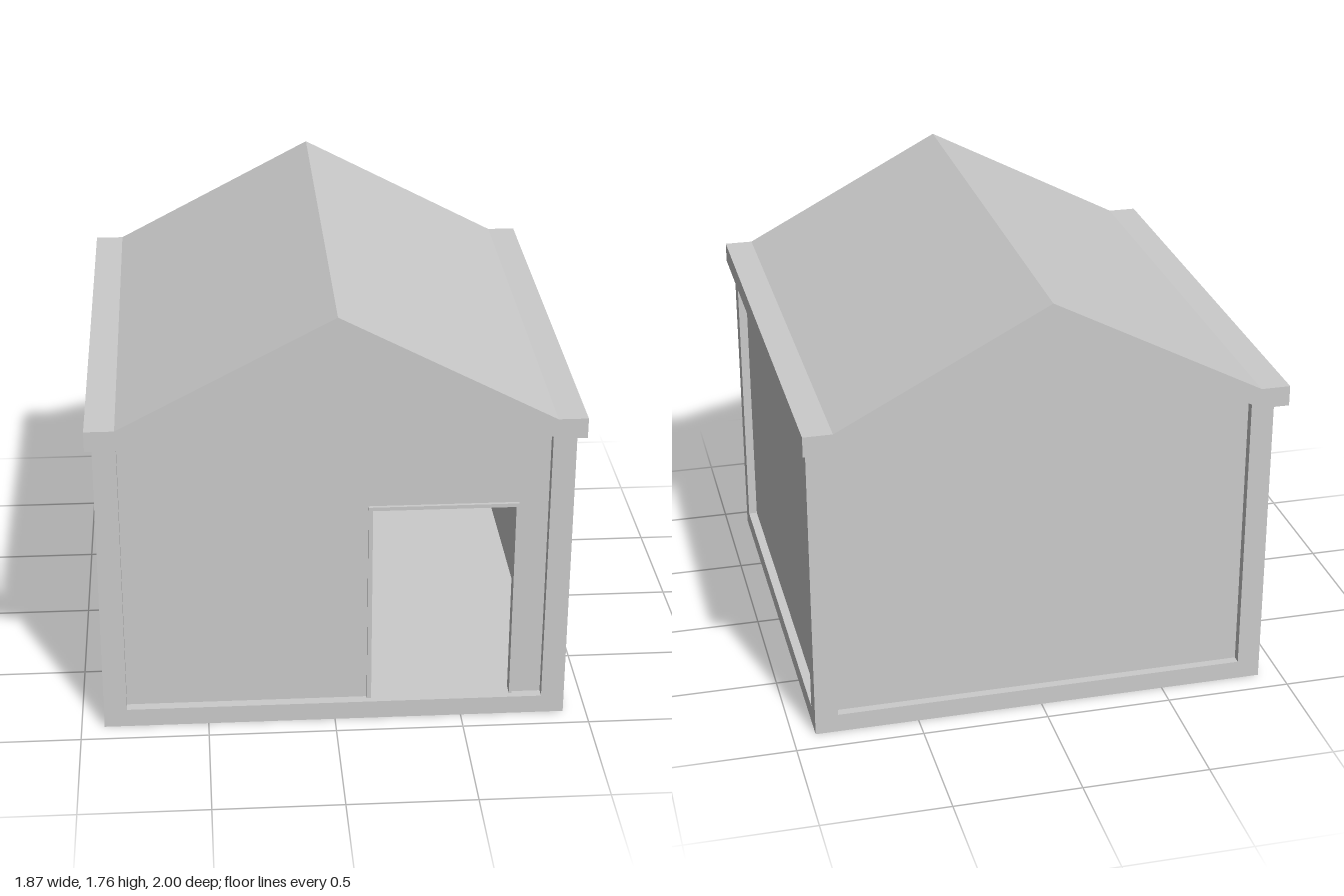
import * as THREE from 'three';

const material = new THREE.MeshStandardMaterial({ color: 0xcccccc, flatShading: true });

function add(parent, name, geometry) {
  const mesh = new THREE.Mesh(geometry, material);
  mesh.name = name;
  parent.add(mesh);
  return mesh;
}

// Box given by its lower and upper limits on each axis
function addBox(parent, name, [x0, x1], [y0, y1], [z0, z1]) {
  const mesh = add(parent, name, new THREE.BoxGeometry(x1 - x0, y1 - y0, z1 - z0));
  mesh.position.set((x0 + x1) / 2, (y0 + y1) / 2, (z0 + z1) / 2);
  return mesh;
}

const polygon = (points) => new THREE.Shape(points.map(([x, y]) => new THREE.Vector2(x, y)));
const extrude = (shape, depth) => new THREE.ExtrudeGeometry(shape, { depth, bevelEnabled: false });

export function createModel() {
  const house = new THREE.Group();
  house.name = 'house';

  const floorY = 0.075, eaveY = 1.25, ridgeY = 1.68;
  const wall = 0.04, half = 0.91, panel = 0.875, inner = 0.82;

  // Floor slab, its rim forms the ledge around the recessed panels
  addBox(house, 'floorSlab', [-half, half], [0, floorY], [-0.905, 0.915]);

  // Corner posts
  for (const side of [-1, 1]) {
    const x = side < 0 ? [-half, -inner] : [inner, half];
    addBox(house, 'frontPost', x, [floorY, eaveY], [0.84, 0.915]);
    addBox(house, 'backPost', x, [floorY, eaveY], [-0.905, -0.82]);
  }

  // Gable walls, the front one with an open doorway
  const door = { left: 0.145, right: 0.695, top: 0.91 };
  const gableTop = [[0.83, floorY], [0.83, eaveY], [inner, eaveY], [0, ridgeY], [-inner, eaveY], [-0.83, eaveY], [-0.83, floorY]];
  const doorway = [[door.left, floorY], [door.left, door.top], [door.right, door.top], [door.right, floorY]];
  add(house, 'frontWall', extrude(polygon([...gableTop, ...doorway]), wall)).position.z = panel - wall;
  add(house, 'backWall', extrude(polygon(gableTop), wall)).position.z = -0.87;

  // Door frame
  const doorFrame = new THREE.Group();
  doorFrame.name = 'doorFrame';
  house.add(doorFrame);
  const frameZ = [panel - wall, 0.888];
  addBox(doorFrame, 'doorJamb', [0.128, door.left], [floorY, door.top], frameZ);
  addBox(doorFrame, 'doorJamb', [door.right, 0.706], [floorY, door.top], frameZ);
  addBox(doorFrame, 'doorHeader', [0.128, 0.706], [door.top, 0.925], frameZ);

  // Side walls: plain on the left, with a window on the right
  addBox(house, 'leftWall', [panel - wall, panel], [floorY, eaveY], [-0.83, 0.84]);
  const win = { z0: -0.27, z1: 0.02, y0: 0.635, y1: 0.91 };
  const rectangle = (a, b, c, d) => [[a, c], [b, c], [b, d], [a, d]];
  const sideShape = polygon(rectangle(-0.83, 0.84, floorY, eaveY));
  sideShape.holes.push(polygon(rectangle(win.z0, win.z1, win.y0, win.y1)));
  const rightWall = add(house, 'rightWall', extrude(sideShape, wall).rotateY(-Math.PI / 2));
  rightWall.position.x = -(panel - wall);

  // Window frame with four open panes
  const bar = 0.02;
  const frameShape = polygon(rectangle(win.z0, win.z1, win.y0, win.y1));
  const paneZ = (win.z1 - win.z0 - 3 * bar) / 2;
  const paneY = (win.y1 - win.y0 - 3 * bar) / 2;
  for (let i = 0; i < 2; i++) {
    for (let j = 0; j < 2; j++) {
      const z = win.z0 + bar + i * (paneZ + bar);
      const y = win.y0 + bar + j * (paneY + bar);
      frameShape.holes.push(polygon(rectangle(z, z + paneZ, y, y + paneY)));
    }
  }
  const windowFrame = add(house, 'windowFrame', extrude(frameShape, 0.055).rotateY(-Math.PI / 2));
  windowFrame.position.x = -(panel - wall);

  // Roof: a folded slab with flat eaves
  const t = 0.08, eaveX = 0.933;
  const roof = polygon([
    [eaveX, eaveY], [eaveX, eaveY + t], [inner, eaveY + t], [0, ridgeY + t], [-inner, eaveY + t],
    [-eaveX, eaveY + t], [-eaveX, eaveY], [-inner, eaveY], [0, ridgeY], [inner, eaveY],
  ]);
  add(house, 'roof', extrude(roof, 2)).position.z = -1;

  return house;
}
